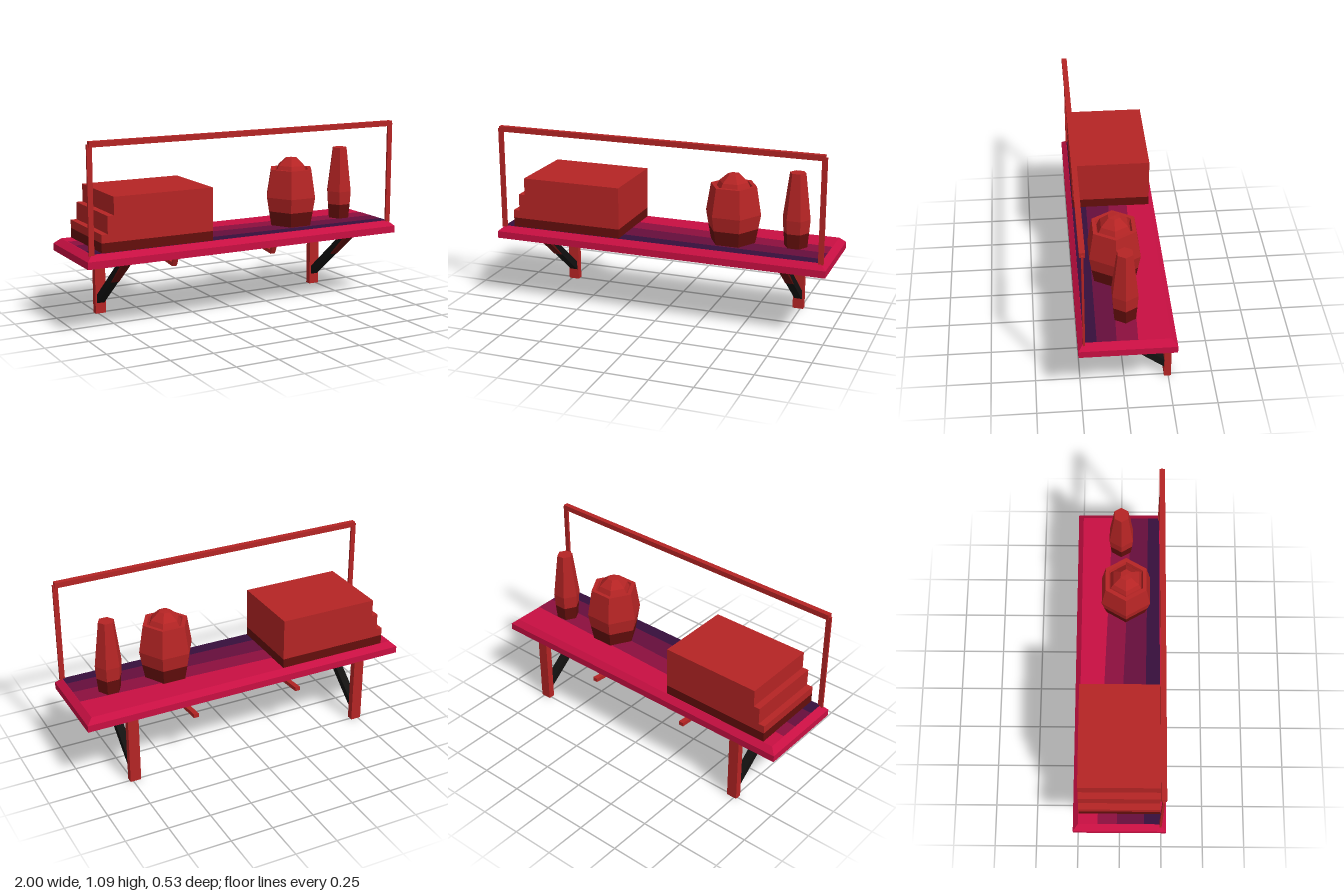
import * as THREE from 'three';

const mat = (name, color) => Object.assign(new THREE.MeshStandardMaterial({ color }), { name });

export function createModel() {
  const root = new THREE.Group();
  root.name = 'wallShelf';
  const red = mat('red', 0xb52424);
  const darkRed = mat('dark red', 0x640e0c);
  const crimson = mat('crimson', 0xc80f42);
  const plum = mat('plum', 0x8c0f3e);
  const purple = mat('purple', 0x660e3c);
  const indigo = mat('indigo', 0x360f3c);
  const black = mat('black', 0x121110);

  const add = (name, geometry, material, parent = root) => {
    const mesh = new THREE.Mesh(geometry, material);
    mesh.name = name;
    parent.add(mesh);
    return mesh;
  };
  // Box given by its minimum and maximum corners
  const box = (name, x0, x1, y0, y1, z0, z1, material, parent) => {
    const m = add(name, new THREE.BoxGeometry(x1 - x0, y1 - y0, z1 - z0), material, parent);
    m.position.set((x0 + x1) / 2, (y0 + y1) / 2, (z0 + z1) / 2);
    return m;
  };
  const flat = (geometry) => {
    const g = geometry.toNonIndexed();
    g.computeVertexNormals();
    return g;
  };
  // Side outline in [z, y], extruded across x and centred there
  const sideExtrude = (name, points, x, width, material) => {
    const shape = new THREE.Shape(points.map(([z, y]) => new THREE.Vector2(-z, y)));
    const g = new THREE.ExtrudeGeometry(shape, { depth: width, bevelEnabled: false });
    g.translate(0, 0, -width / 2);
    g.rotateY(Math.PI / 2);
    const m = add(name, g, material);
    m.position.x = x;
    return m;
  };

  // Board with a chamfered upper edge
  const top = 0.472;
  const board = new THREE.BoxGeometry(2, 0.072, 0.53, 1, 2, 1);
  const p = board.attributes.position;
  for (let i = 0; i < p.count; i++) {
    const y = p.getY(i);
    if (y > 0.03) p.setXYZ(i, Math.sign(p.getX(i)) * 0.965, y, Math.sign(p.getZ(i)) * 0.235);
    else if (y > -0.03) p.setY(i, 0.005);
  }
  add('board', flat(board), crimson).position.y = 0.436;

  // Painted bands on the board: z at left back, right back, left front, right front
  [
    ['plumBand', -0.125, -0.055, -0.015, 0.06, plum],
    ['purpleBand', -0.015, 0.06, 0.14, 0.165, purple],
    ['indigoBand', 0.14, 0.165, 0.234, 0.234, indigo],
  ].forEach(([name, lb, rb, lf, rf, material]) => {
    const shape = new THREE.Shape([
      new THREE.Vector2(-0.964, -lf), new THREE.Vector2(0.964, -rf),
      new THREE.Vector2(0.964, -rb), new THREE.Vector2(-0.964, -lb),
    ]);
    const g = new THREE.ShapeGeometry(shape);
    g.rotateX(-Math.PI / 2);
    add(name, g, material).position.y = top + 0.002;
  });

  // Guard rail along the front
  for (const s of [-1, 1]) {
    box('railPost', s * 0.966 - 0.015, s * 0.966 + 0.015, 0.465, 1.07, 0.227, 0.239, red);
  }
  box('rail', -0.97, 0.97, 1.054, 1.085, 0.218, 0.249, red);

  // Stack of three stepped blocks with a dark foot
  const stack = new THREE.Group();
  stack.name = 'stack';
  root.add(stack);
  box('stackFoot', -0.905, -0.23, top, 0.528, -0.232, 0.23, darkRed, stack);
  box('stackLower', -0.905, -0.23, 0.528, 0.575, -0.232, 0.23, red, stack);
  box('stackMiddle', -0.868, -0.23, 0.575, 0.675, -0.232, 0.23, red, stack);
  box('stackUpper', -0.83, -0.23, 0.675, 0.777, -0.232, 0.23, red, stack);

  // Six-sided vessels, dark near the foot
  const hexLathe = (name, points, material, parent) => add(name, flat(
    new THREE.LatheGeometry(points.map(([r, y]) => new THREE.Vector2(r, y)), 6, Math.PI / 2)), material, parent);
  const vessel = (name, x, z, foot, body) => {
    const g = new THREE.Group();
    g.name = name;
    g.position.set(x, 0, z);
    root.add(g);
    hexLathe(name + 'Foot', foot, darkRed, g);
    hexLathe(name + 'Body', body, red, g);
  };
  vessel('jar', 0.4, 0.03,
    [[0, top], [0.133, top], [0.15, 0.56]],
    [[0.15, 0.56], [0.165, 0.645], [0.137, 0.81], [0.112, 0.81], [0.105, 0.78],
      [0.1, 0.8], [0.085, 0.83], [0.036, 0.873], [0, 0.876]]);
  vessel('vase', 0.765, 0,
    [[0, top], [0.067, top], [0.075, 0.56]],
    [[0.075, 0.56], [0.081, 0.64], [0.047, 0.908], [0, 0.908]]);

  // Wall legs with slanted braces
  for (const s of [-1, 1]) {
    const x = s * 0.735;
    box('leg', x - 0.032, x + 0.032, 0, 0.402, -0.265, -0.226, red);
    sideExtrude('brace', [[0.17, 0.4], [0.175, 0.382], [-0.23, 0.06], [-0.23, 0.112], [0.125, 0.4]],
      x, 0.046, black);
    // Red strip under the upper part of the brace
    sideExtrude('braceStrip', [[0.168, 0.4], [0.18, 0.386], [0.175, 0.378], [0, 0.239], [0, 0.246]],
      x, 0.047, darkRed);
  }

  // Bent hooks under the board
  for (const s of [-1, 1]) {
    const x = s * 0.333;
    sideExtrude('hook', [[-0.002, 0.402], [-0.063, 0.273], [-0.23, 0.289], [-0.23, 0.313],
      [-0.074, 0.297], [-0.024, 0.402]], x, 0.03, red);
    box('hookPlate', x - 0.015, x + 0.015, 0.39, 0.402, -0.065, -0.02, red);
  }
  return root;
}
